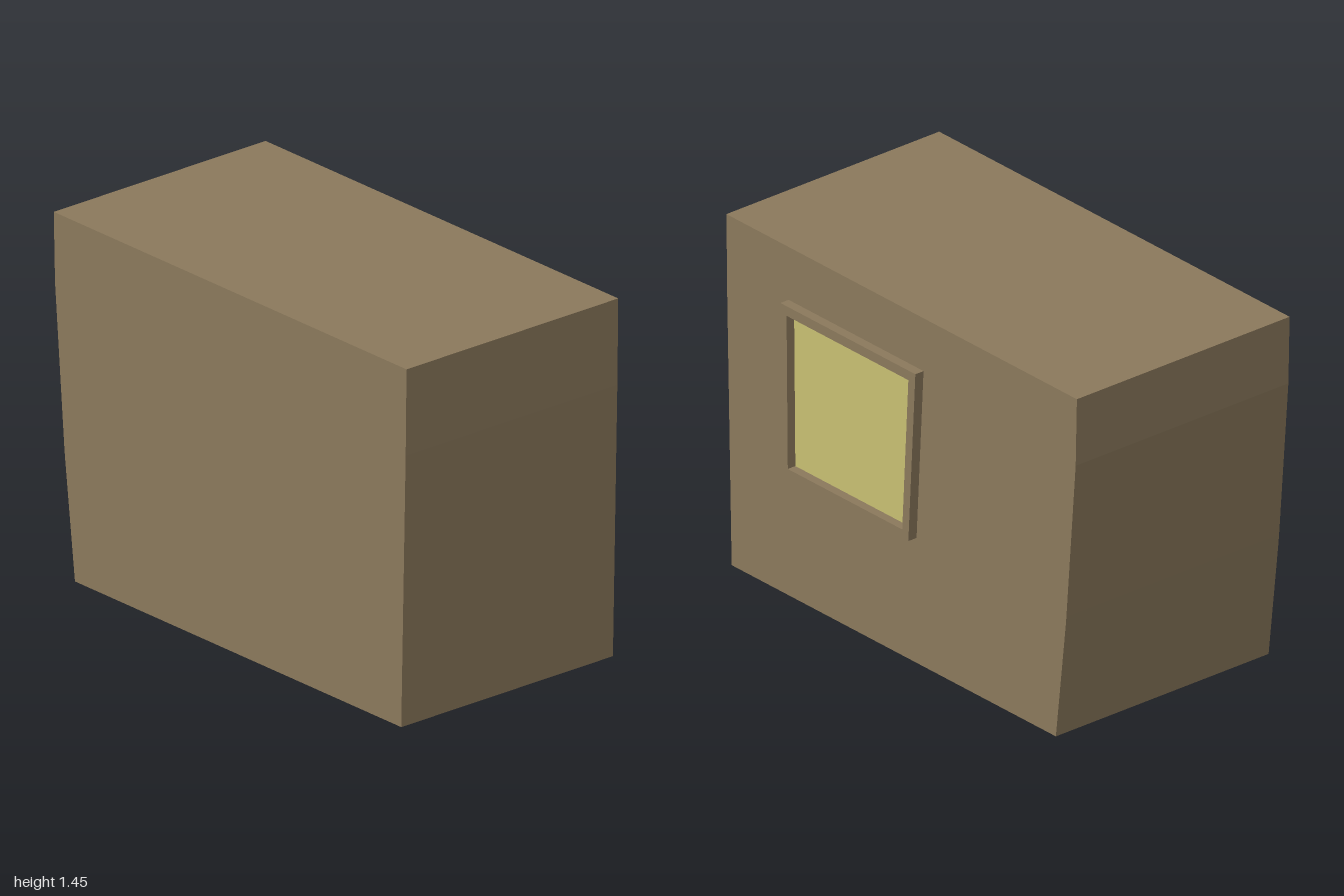
import * as THREE from 'three';

// Side outlines as [z, y] points, drawn counter-clockwise seen from +x
const BODY = [[0.97, 0], [-0.88, 0], [-0.936, 0.48], [-0.94, 0.52], [-0.993, 1.17], [-1, 1.45], [1, 1.45], [0.995, 1.1]];
const FRAME_OUTER = [[0.635, 0.52], [-0.085, 0.52], [-0.125, 1.23], [0.645, 1.23]];
const FRAME_INNER = [[0.603, 0.555], [-0.05, 0.555], [-0.085, 1.19], [0.61, 1.19]];

const toPoints = (pts) => pts.map(([z, y]) => new THREE.Vector2(-z, y));

// Extrude a side outline along x, from x0 to x1, with an optional hole
function slab(name, outline, x0, x1, material, hole) {
  const shape = new THREE.Shape(toPoints(outline));
  if (hole) shape.holes.push(new THREE.Path(toPoints(hole)));
  const geometry = new THREE.ExtrudeGeometry(shape, { depth: x1 - x0, bevelEnabled: false });
  geometry.rotateY(Math.PI / 2).translate(x0, 0, 0);
  const mesh = new THREE.Mesh(geometry, material);
  mesh.name = name;
  return mesh;
}

export function createModel() {
  const wall = new THREE.MeshStandardMaterial({ color: 0x8b795c });
  wall.name = 'brown wall';
  const glass = new THREE.MeshStandardMaterial({ color: 0xc8c072 });
  glass.name = 'yellow glass';

  const model = new THREE.Group();
  model.name = 'cabin';
  model.add(
    slab('cabinBody', BODY, -0.54, 0.5, wall),
    slab('windowFrame', FRAME_OUTER, 0.5, 0.54, wall, FRAME_INNER),
    slab('windowPane', FRAME_INNER, 0.499, 0.503, glass),
  );
  return model;
}
